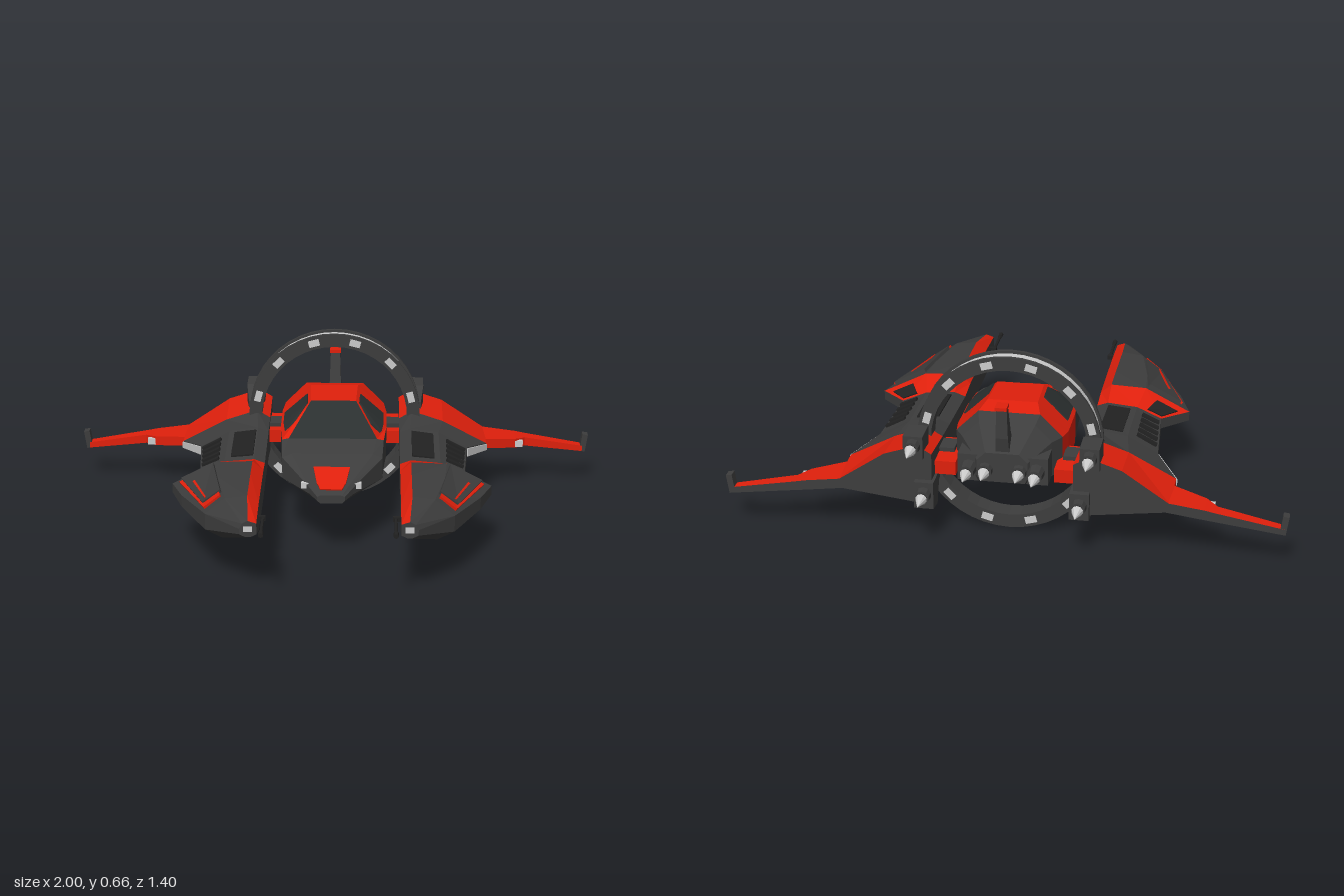
import * as THREE from 'three';

const RED = 0xe0200c, DARK = 0x3d3d3d, BLACK = 0x222222, GLASS = 0x2b3030, LIGHT = 0xcccccc;
const mats = {};
const mat = (c) => (mats[c] ??= new THREE.MeshStandardMaterial({ color: c, flatShading: true }));

function mesh(parent, name, geo, color, x = 0, y = 0, z = 0) {
  const m = new THREE.Mesh(geo, mat(color));
  m.name = name;
  m.position.set(x, y, z);
  parent.add(m);
  return m;
}
const box = (parent, name, color, w, h, d, x, y, z) =>
  mesh(parent, name, new THREE.BoxGeometry(w, h, d), color, x, y, z);

// Skin over rings of [x,y,z]; rings run counter-clockwise seen from the last ring's side.
function loft(parent, name, rings, colorOf) {
  const byColor = {};
  const tri = (c, ...pts) => (byColor[c] ??= []).push(...pts.flat());
  const n = rings[0].length, last = rings.length - 1;
  for (let i = 0; i < last; i++) {
    for (let j = 0; j < n; j++) {
      const k = (j + 1) % n, [r, s] = [rings[i], rings[i + 1]], c = colorOf(i, j);
      tri(c, r[j], r[k], s[k]);
      tri(c, r[j], s[k], s[j]);
    }
  }
  for (let j = 1; j < n - 1; j++) {
    tri(colorOf(0, -1), rings[0][0], rings[0][j + 1], rings[0][j]);
    tri(colorOf(last, -1), rings[last][0], rings[last][j], rings[last][j + 1]);
  }
  for (const c in byColor) {
    const g = new THREE.BufferGeometry();
    g.setAttribute('position', new THREE.Float32BufferAttribute(byColor[c], 3));
    g.computeVertexNormals();
    mesh(parent, name, g, Number(c));
  }
}

// Raised plate on a quad face: uv corners are placed bilinearly, then thickened along the normal.
function panel(parent, name, color, [A, B, C, D], uvs, t = 0.005) {
  const pts = uvs.map(([u, v]) => new THREE.Vector3(...[0, 1, 2].map((k) =>
    (1 - v) * ((1 - u) * A[k] + u * B[k]) + v * ((1 - u) * D[k] + u * C[k]))));
  const nrm = pts[1].clone().sub(pts[0]).cross(pts[2].clone().sub(pts[0])).normalize();
  const at = (d) => pts.map((p) => p.clone().addScaledVector(nrm, d).toArray());
  loft(parent, name, [at(-0.01), at(t)], () => color);
}
const rect = (u0, u1, v0, v1) => [[u0, v0], [u1, v0], [u1, v1], [u0, v1]];

// Build the left side, then copy it mirrored with its faces turned round.
function bothSides(root, name, build) {
  const left = new THREE.Group(), right = new THREE.Group();
  left.name = 'left' + name;
  right.name = 'right' + name;
  build(left);
  for (const m of left.children) {
    m.updateMatrix();
    let g = m.geometry.clone().applyMatrix4(m.matrix);
    if (g.index) g = g.toNonIndexed();
    g.scale(-1, 1, 1);
    const p = g.attributes.position, a = new THREE.Vector3(), b = new THREE.Vector3();
    for (let i = 0; i < p.count; i += 3) {
      a.fromBufferAttribute(p, i + 1);
      b.fromBufferAttribute(p, i + 2);
      p.setXYZ(i + 1, b.x, b.y, b.z);
      p.setXYZ(i + 2, a.x, a.y, a.z);
    }
    g.computeVertexNormals();
    const copy = new THREE.Mesh(g, m.material);
    copy.name = m.name;
    right.add(copy);
  }
  root.add(left, right);
}

// Thruster pointing backwards: housing, collar, pale spike
function thruster(parent, x, y, z) {
  const cyl = (name, r0, r1, len, dz, color) => mesh(parent, name,
    new THREE.CylinderGeometry(r0, r1, len, 10).rotateX(-Math.PI / 2), color, x, y, z - dz - len / 2);
  cyl('thrusterHousing', 0.026, 0.03, 0.05, 0, DARK);
  cyl('thrusterCollar', 0.018, 0.018, 0.02, 0.045, BLACK);
  cyl('thrusterSpike', 0.001, 0.021, 0.06, 0.06, LIGHT);
}

function buildHull(root) {
  const g = new THREE.Group();
  g.name = 'hull';
  root.add(g);
  // z, bottom half-width, side half-width, y bottom, side low, side high, top half-width, y top
  const rings = [
    [-0.57, 0.08, 0.09, 0.25, 0.27, 0.33, 0.06, 0.36],
    [-0.47, 0.12, 0.16, 0.22, 0.24, 0.37, 0.10, 0.43],
    [-0.42, 0.14, 0.19, 0.21, 0.24, 0.37, 0.11, 0.45],
    [-0.35, 0.16, 0.20, 0.21, 0.24, 0.36, 0.09, 0.465],
    [-0.18, 0.16, 0.20, 0.21, 0.24, 0.355, 0.085, 0.46],
    [-0.05, 0.17, 0.19, 0.21, 0.24, 0.35, 0.165, 0.355],
    [0.06, 0.14, 0.185, 0.21, 0.24, 0.32, 0.15, 0.335],
    [0.22, 0.06, 0.08, 0.22, 0.24, 0.265, 0.065, 0.275],
    [0.275, 0.04, 0.05, 0.225, 0.235, 0.25, 0.04, 0.255],
  ].map(([z, wb, wm, yb, y1, y2, wt, yt]) => {
    const half = [[wb, yb, z], [wm, y1, z], [wm, y2, z], [wt, yt, z]];
    return [...half, ...half.map(([x, y]) => [-x, y, z]).reverse()];
  });
  loft(g, 'fuselage', rings, (i, j) => {
    if (i === 4 && j === 3) return GLASS;
    if (i >= 2 && i <= 3 && j >= 0) return RED;
    if (i === 4 && j >= 0 && j !== 1 && j !== 5) return RED;
    return i === 5 && (j === 0 || j === 6) ? RED : DARK;
  });
  panel(g, 'nosePanel', RED, [[-0.15, 0.335, 0.06], [-0.065, 0.275, 0.22], [0.065, 0.275, 0.22], [0.15, 0.335, 0.06]],
    [[0.45, 0.2], [1, 0.1], [1, 0.9], [0.45, 0.8]]);
  panel(g, 'noseTip', RED, [[-0.065, 0.275, 0.22], [-0.04, 0.255, 0.275], [0.04, 0.255, 0.275], [0.065, 0.275, 0.22]],
    rect(0, 0.5, 0.12, 0.88));
  bothSides(g, 'Cabin', (s) => {
    panel(s, 'sideWindow', GLASS, [[0.2, 0.355, -0.18], [0.2, 0.36, -0.35], [0.09, 0.465, -0.35], [0.085, 0.46, -0.18]],
      [[0, 0.12], [0.62, 0.12], [0.55, 0.9], [0, 0.9]]);
    panel(s, 'frontQuarterWindow', GLASS, [[0.19, 0.35, -0.05], [0.2, 0.355, -0.18], [0.085, 0.46, -0.18], [0.165, 0.355, -0.05]],
      [[0.4, 0.25], [1, 0.12], [1, 0.88], [0.45, 0.8]]);
    box(s, 'noseLight', LIGHT, 0.03, 0.02, 0.02, 0.095, 0.265, 0.195);
    box(s, 'wingStrut', RED, 0.1, 0.05, 0.2, 0.225, 0.265, -0.42);
    box(s, 'strutCap', DARK, 0.06, 0.03, 0.08, 0.225, 0.29, -0.4);
    thruster(s, 0.12, 0.295, -0.56);
    thruster(s, 0.06, 0.295, -0.54);
    box(s, 'thrusterBlock', DARK, 0.14, 0.1, 0.09, 0.09, 0.295, -0.515);
  });
  // Tail fin
  const slab = (y, w, z0, z1) => [[-w, y, z0], [-w, y, z1], [w, y, z1], [w, y, z0]];
  loft(g, 'tailFin', [slab(0.35, 0.025, -0.56, -0.47), slab(0.42, 0.022, -0.575, -0.515), slab(0.535, 0.018, -0.575, -0.55)], () => DARK);
  box(g, 'finTip', RED, 0.042, 0.012, 0.05, 0, 0.538, -0.568);
}

function buildRing(root) {
  const g = new THREE.Group();
  g.name = 'ring';
  g.position.set(0, 0.335, -0.397);
  root.add(g);
  const profile = [[0.28, -0.037], [0.33, -0.037], [0.33, -0.024], [0.318, -0.024], [0.318, 0.024],
    [0.33, 0.024], [0.33, 0.037], [0.28, 0.037], [0.28, -0.037]].map((p) => new THREE.Vector2(...p));
  mesh(g, 'ringRim', new THREE.LatheGeometry(profile, 44).rotateX(Math.PI / 2), DARK);
  mesh(g, 'ringBand', new THREE.CylinderGeometry(0.321, 0.321, 0.046, 44, 1, true).rotateX(Math.PI / 2), LIGHT);
  for (let i = 0; i < 12; i++) {
    const a = ((i + 0.5) * Math.PI) / 6;
    box(g, 'ringLamp', LIGHT, 0.026, 0.042, 0.08, 0.304 * Math.cos(a), 0.304 * Math.sin(a), 0).rotation.z = a;
  }
}

function buildSide(s) {
  // Nacelle cross-sections: z, then x,y from inner bottom, round the outside, to inner wall
  const rings = [
    [-0.575, 0.31, 0.15, 0.45, 0.17, 0.59, 0.185, 0.59, 0.215, 0.42, 0.33, 0.3, 0.37, 0.25, 0.34, 0.25, 0.18],
    [-0.38, 0.31, 0.17, 0.45, 0.18, 0.59, 0.19, 0.59, 0.22, 0.42, 0.31, 0.3, 0.35, 0.25, 0.32, 0.25, 0.19],
    [-0.25, 0.31, 0.2, 0.42, 0.2, 0.51, 0.21, 0.51, 0.25, 0.4, 0.31, 0.29, 0.325, 0.25, 0.31, 0.25, 0.21],
    [0.04, 0.31, 0.2, 0.42, 0.2, 0.49, 0.215, 0.49, 0.255, 0.4, 0.295, 0.29, 0.305, 0.25, 0.29, 0.25, 0.21],
    [0.14, 0.31, 0.17, 0.48, 0.17, 0.585, 0.21, 0.585, 0.245, 0.42, 0.33, 0.29, 0.335, 0.25, 0.3, 0.25, 0.2],
    [0.27, 0.31, 0.17, 0.46, 0.17, 0.54, 0.205, 0.54, 0.25, 0.41, 0.325, 0.29, 0.335, 0.25, 0.3, 0.25, 0.2],
    [0.47, 0.3, 0.17, 0.38, 0.17, 0.44, 0.2, 0.44, 0.26, 0.37, 0.32, 0.29, 0.33, 0.25, 0.3, 0.25, 0.2],
    [0.63, 0.27, 0.24, 0.29, 0.24, 0.31, 0.25, 0.31, 0.27, 0.3, 0.29, 0.28, 0.3, 0.25, 0.29, 0.25, 0.25],
  ].map(([z, ...p]) => Array.from({ length: 8 }, (_, k) => [p[2 * k], p[2 * k + 1], z]));
  loft(s, 'nacelle', rings, (i, j) => {
    if (i === 0 && j >= 2 && j <= 5) return RED;
    if (i === 3 && j >= 3 && j <= 5) return RED;
    return i >= 4 && j === 5 ? RED : DARK;
  });
  // Quad on the nacelle skin between two stations, front edge first
  const face = (front, back, j) => [rings[front][j], rings[back][j], rings[back][j + 1], rings[front][j + 1]];
  panel(s, 'frontPanelTrim', RED, face(6, 4, 3), rect(0.08, 0.9, 0.12, 0.88), 0.011);
  panel(s, 'frontPanel', DARK, face(6, 4, 3), rect(0.17, 0.94, 0.2, 0.94), 0.015);
  panel(s, 'frontPanelSlot', RED, face(6, 4, 3), rect(0.22, 0.72, 0.36, 0.42), 0.017);
  panel(s, 'shoulderRecess', BLACK, face(4, 3, 3), rect(0.3, 0.9, 0.1, 0.65));
  panel(s, 'deckPanel', BLACK, face(3, 2, 4).map((p) => p), rect(0.12, 0.9, 0.2, 0.95));
  for (let i = 0; i < 5; i++) {
    const u = 0.14 + i * 0.16;
    panel(s, 'deckVent', BLACK, face(3, 2, 3), rect(u, u + 0.07, 0.08, 0.75), 0.008);
  }
  panel(s, 'leadingEdgePlate', LIGHT, face(2, 1, 2), rect(0, 1, 0.1, 0.9));
  box(s, 'noseLamp', LIGHT, 0.03, 0.02, 0.01, 0.28, 0.27, 0.63);

  // Wing: x, leading z, y bottom, y top
  const wing = [[0.56, -0.42, 0.185, 0.222], [0.71, -0.48, 0.165, 0.202], [0.75, -0.52, 0.16, 0.194], [0.985, -0.54, 0.13, 0.152]]
    .map(([x, z, b, t]) => [[x, b, -0.575], [x, t, -0.575], [x, t, z], [x, b, z]]);
  loft(s, 'wing', wing, (i, j) => (j === 1 || j === 2 ? RED : DARK));
  box(s, 'wingLamp', LIGHT, 0.03, 0.025, 0.02, 0.725, 0.18, -0.49);
  box(s, 'wingtip', DARK, 0.022, 0.07, 0.035, 0.985, 0.165, -0.557).rotation.z = -0.15;

  // Engine mounts and thrusters
  const block = (x0, x1, y0, y1, z) => [[x0, y0, z], [x1, y0, z], [x1, y1, z], [x0, y1, z]];
  loft(s, 'upperEngineMount', [block(0.275, 0.345, 0.33, 0.415, -0.6), block(0.275, 0.345, 0.32, 0.415, -0.5), block(0.29, 0.335, 0.32, 0.37, -0.43)], () => DARK);
  loft(s, 'lowerEngineMount', [block(0.24, 0.31, 0.14, 0.24, -0.6), block(0.24, 0.31, 0.13, 0.24, -0.53), block(0.25, 0.3, 0.19, 0.24, -0.45)], () => DARK);
  thruster(s, 0.31, 0.38, -0.58);
  thruster(s, 0.275, 0.195, -0.58);

  // Gun
  mesh(s, 'gunBarrel', new THREE.CylinderGeometry(0.006, 0.006, 0.17, 8).rotateX(Math.PI / 2), BLACK, 0.232, 0.275, 0.615);
  mesh(s, 'gunMuzzle', new THREE.CylinderGeometry(0.009, 0.009, 0.03, 8).rotateX(Math.PI / 2), BLACK, 0.232, 0.275, 0.685);
  box(s, 'gunBracket', BLACK, 0.035, 0.016, 0.016, 0.24, 0.275, 0.54);
}

export function createModel() {
  const root = new THREE.Group();
  root.name = 'spaceFighter';
  buildHull(root);
  buildRing(root);
  bothSides(root, 'Wing', buildSide);
  return root;
}
